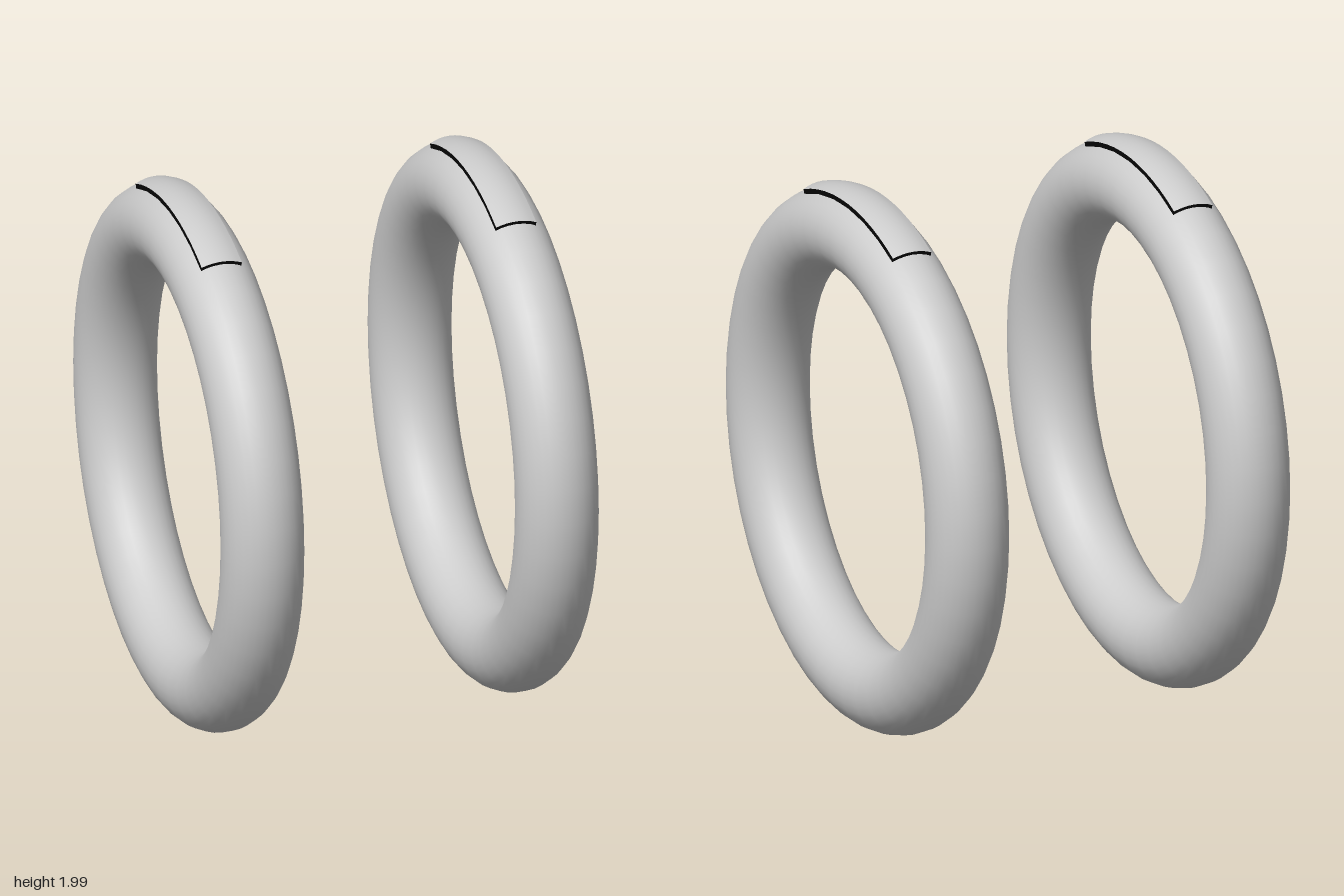
import * as THREE from 'three';
import { mergeGeometries } from 'three/addons/utils/BufferGeometryUtils.js';

const RING = 0.839;    // centre line radius of a ring
const TUBE = 0.149;    // tube radius
const RAISED = 0.173 - 0.01; // radius of the raised plate's outer face
const HALF_W = 0.075;  // half the plate's width
const HALF_ANGLE = Math.PI / 8;
const ARC_STEPS = 12;

// arc across the tube, from one edge of the plate to the other
function crossArc(radius, steps = 8) {
  const a = Math.asin(HALF_W / radius);
  return Array.from({ length: steps + 1 }, (_, i) => {
    const t = -a + (2 * a * i) / steps;
    return new THREE.Vector2(RING + radius * Math.cos(t), radius * Math.sin(t));
  });
}

// sweep a profile round the ring's axis, over the plate's angle
const sweep = (points) =>
  new THREE.LatheGeometry(points, ARC_STEPS, -HALF_ANGLE, 2 * HALF_ANGLE);

// turn the sweep so that its axis is x and its middle points up
const upright = (geometry) => geometry.rotateX(-Math.PI / 2).rotateY(Math.PI / 2);

function createRing() {
  const ring = new THREE.Group();
  const grey = new THREE.MeshStandardMaterial({ color: 0xcccccc });
  const greyThin = new THREE.MeshStandardMaterial({ color: 0xcccccc, side: THREE.DoubleSide });
  const black = new THREE.MeshStandardMaterial({ color: 0x050505, side: THREE.DoubleSide });

  // round hoop
  const hoop = new THREE.Mesh(
    new THREE.TorusGeometry(RING, TUBE, 32, 48).rotateY(Math.PI / 2), grey);
  hoop.name = 'hoop';

  // curved face of the raised plate
  const outer = crossArc(RAISED);
  const inner = crossArc(TUBE - 0.002);
  const plate = new THREE.Mesh(upright(sweep(outer)), greyThin);
  plate.name = 'raisedPlate';

  // dark rim: two long sides and two ends
  const last = outer.length - 1;
  const sides = [sweep([outer[0], inner[0]]), sweep([inner[last], outer[last]])];
  const section = new THREE.Shape([...inner, ...outer.slice().reverse()]);
  const ends = [-HALF_ANGLE, HALF_ANGLE].map((phi) =>
    new THREE.ShapeGeometry(section).rotateY(phi - Math.PI / 2));
  const rim = new THREE.Mesh(upright(mergeGeometries([...sides, ...ends])), black);
  rim.name = 'plateRim';

  ring.add(hoop, plate, rim);
  return ring;
}

export function createModel() {
  const model = new THREE.Group();
  model.name = 'ringPair';
  for (const [name, side] of [['leftRing', 1], ['rightRing', -1]]) {
    const ring = createRing();
    ring.name = name;
    ring.position.set(side * 0.549, RING + TUBE, 0);
    model.add(ring);
  }
  return model;
}
